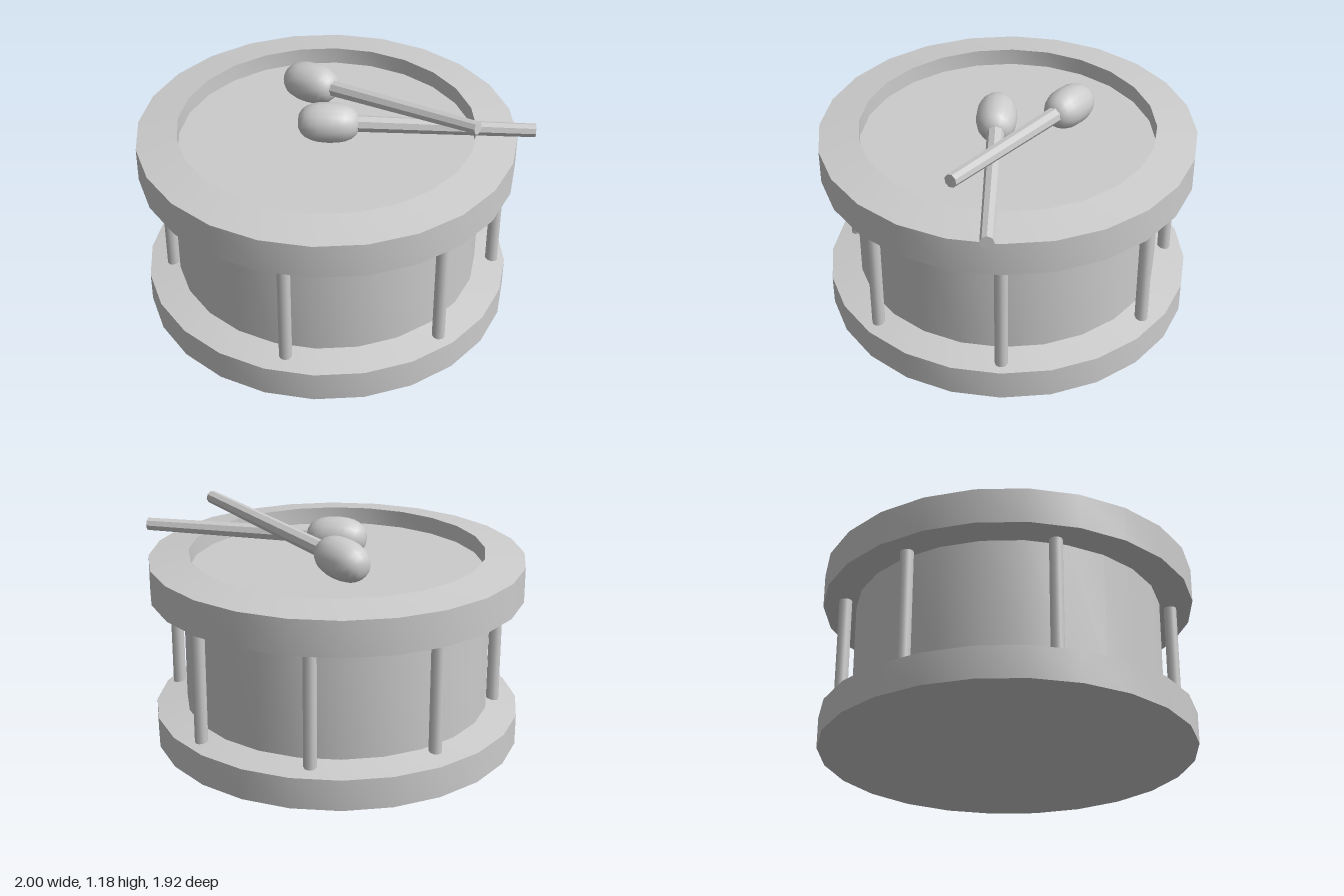
import * as THREE from 'three';
import { toCreasedNormals } from 'three/addons/utils/BufferGeometryUtils.js';

export function createModel() {
  const model = new THREE.Group();
  model.name = 'drum';
  const material = new THREE.MeshStandardMaterial({ color: 0xcccccc });
  const stickMaterial = new THREE.MeshStandardMaterial({ color: 0xcccccc, flatShading: true });
  const DRUM_X = -0.04;

  function add(parent, name, geometry, x = 0, y = 0, z = 0, mat = material) {
    const mesh = new THREE.Mesh(geometry, mat);
    mesh.name = name;
    mesh.position.set(x, y, z);
    parent.add(mesh);
    return mesh;
  }
  const lathe = (profile, sides = 24) => toCreasedNormals(
    new THREE.LatheGeometry(profile.map(([r, y]) => new THREE.Vector2(r, y)), sides), 0.6);

  // Base hoop: closed underneath, top slopes up to the shell
  add(model, 'baseHoop', lathe([[0, 0], [0.95, 0], [0.95, 0.16], [0.78, 0.19]]), DRUM_X);

  // Cylindrical shell
  add(model, 'shell', lathe([[0.79, 0.18], [0.79, 0.8]]), DRUM_X);

  // Top hoop: sloped lip with a recessed opening
  add(model, 'topHoop', lathe([[0.78, 0.78], [0.96, 0.78], [0.96, 0.96], [0.755, 0.99], [0.755, 0.89]]), DRUM_X);

  // Drum skin, recessed in the hoop
  add(model, 'skin', lathe([[0.76, 0.9], [0, 0.9]]), DRUM_X);

  // Seven tension rods, unevenly spaced around the shell
  const rodGeometry = new THREE.CylinderGeometry(0.033, 0.033, 0.63, 10);
  for (const degrees of [0, 48, 102, 170, 220, 263, 305]) {
    const a = THREE.MathUtils.degToRad(degrees);
    add(model, 'tensionRod', rodGeometry, -0.01 + 0.85 * Math.cos(a), 0.48, 0.85 * Math.sin(a));
  }

  // Mallets: barrel-shaped head at the origin, tapered stick along +y
  const headProfile = [];
  for (let i = 0; i <= 12; i++) {
    const a = -Math.PI / 2 + (Math.PI * i) / 12;
    const c = Math.max(0, Math.cos(a)), s = Math.sin(a);
    headProfile.push([0.104 * Math.pow(c, 0.8), 0.155 * Math.sign(s) * Math.pow(Math.abs(s), 0.85)]);
  }
  const headGeometry = lathe(headProfile, 16);

  function mallet(name, head, tip) {
    const group = new THREE.Group();
    group.name = name;
    const from = new THREE.Vector3(...head);
    const axis = new THREE.Vector3(...tip).sub(from);
    const length = axis.length();
    add(group, 'malletHead', headGeometry);
    add(group, 'malletStick', new THREE.CylinderGeometry(0.034, 0.043, length - 0.1, 8),
      0, 0.1 + (length - 0.1) / 2, 0, stickMaterial);
    group.position.copy(from);
    group.quaternion.setFromUnitVectors(new THREE.Vector3(0, 1, 0), axis.normalize());
    model.add(group);
  }
  mallet('frontMallet', [-0.025, 1.035, 0.055], [1.0, 1.03, 0.055]);
  mallet('backMallet', [-0.14, 1.04, -0.31], [0.705, 1.15, 0.235]);

  return model;
}
